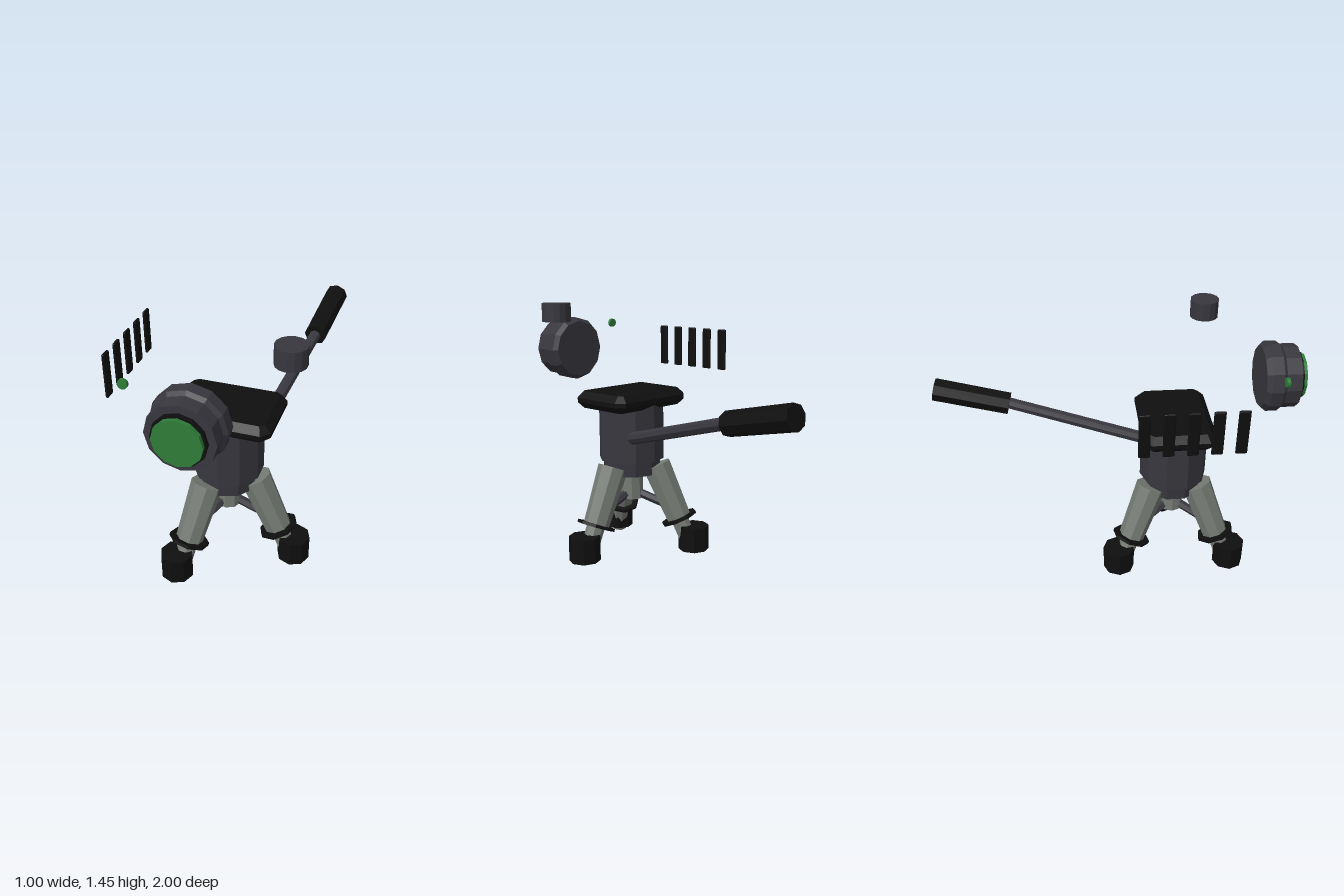
import * as THREE from 'three';
import { RoundedBoxGeometry } from 'three/addons/geometries/RoundedBoxGeometry.js';

const flat = (name, color) => {
  const m = new THREE.MeshStandardMaterial({ color, flatShading: true });
  m.name = name;
  return m;
};

export function createModel() {
  const charcoal = flat('charcoal', 0x38373e);
  const black = flat('black', 0x0f0f0f);
  const grey = flat('legGrey', 0x767b75);
  const green = flat('green', 0x2e7d38);

  const model = new THREE.Group();
  model.name = 'tripodModel';
  const CX = 0.038, CZ = 0.332; // tripod axis

  const add = (parent, name, geometry, material, x = 0, y = 0, z = 0) => {
    const mesh = new THREE.Mesh(geometry, material);
    mesh.name = name;
    mesh.position.set(x, y, z);
    parent.add(mesh);
    return mesh;
  };

  // Cylinder running from point a (radius ra) to point b (radius rb)
  const bar = (parent, name, a, b, ra, rb, material, sides = 8) => {
    const from = new THREE.Vector3(...a), to = new THREE.Vector3(...b);
    const dir = to.clone().sub(from);
    const mesh = add(parent, name, new THREE.CylinderGeometry(rb, ra, dir.length(), sides), material);
    mesh.position.copy(from).add(to).multiplyScalar(0.5);
    mesh.quaternion.setFromUnitVectors(new THREE.Vector3(0, 1, 0), dir.normalize());
    return mesh;
  };

  // Head: body, collar and centre column
  const head = new THREE.Group();
  head.name = 'head';
  head.position.set(CX, 0, CZ);
  model.add(head);
  add(head, 'body', new THREE.CylinderGeometry(0.187, 0.187, 0.34, 10), charcoal, 0, 0.73, 0);
  add(head, 'collar', new THREE.CylinderGeometry(0.168, 0.163, 0.085, 10), charcoal, 0, 0.5205, 0);
  add(head, 'centreColumn', new THREE.CylinderGeometry(0.065, 0.065, 0.18, 8), grey, 0, 0.41, 0);

  // Bevelled top plate with clipped corners
  const w = 0.235, d = 0.161, c = 0.022;
  const outline = new THREE.Shape([
    [-w + c, -d], [w - c, -d], [w, -d + c], [w, d - c],
    [w - c, d], [-w + c, d], [-w, d - c], [-w, -d + c],
  ].map(([x, y]) => new THREE.Vector2(x, y)));
  const plate = new THREE.ExtrudeGeometry(outline, {
    depth: 0.025, bevelEnabled: true, bevelSize: 0.035, bevelThickness: 0.035, bevelSegments: 1,
  });
  plate.rotateX(-Math.PI / 2);
  add(head, 'topPlate', plate, black, -0.002, 0.9, -0.003);

  // Three legs, each built along +x and turned about the axis
  for (let i = 0; i < 3; i++) {
    const leg = new THREE.Group();
    leg.name = 'leg' + (i + 1);
    leg.position.set(CX, 0, CZ);
    leg.rotation.y = (i * Math.PI * 2) / 3;
    model.add(leg);
    const along = (t) => [0.147 + 0.218 * t, 0.523 - 0.498 * t, 0];
    bar(leg, 'upperLeg', along(0), along(0.62), 0.086, 0.073, grey);
    bar(leg, 'lowerLeg', along(0.6), along(1), 0.052, 0.05, grey);
    bar(leg, 'legClamp', along(0.61), along(0.64), 0.108, 0.108, black);
    bar(leg, 'brace', [0, 0.365, 0], [0.256, 0.27, 0], 0.025, 0.025, charcoal, 6);
    const foot = add(leg, 'foot', new THREE.CylinderGeometry(0.088, 0.088, 0.142, 8), black, 0.371, 0.101, 0);
    foot.rotation.y = -leg.rotation.y; // feet keep one common orientation
  }

  // Pan handle
  bar(model, 'handleRod', [0.16, 0.71, 0.195], [0.275, 0.925, -0.6], 0.035, 0.033, charcoal);
  bar(model, 'handleGrip', [0.272, 0.915, -0.575], [0.307, 1.005, -0.985], 0.064, 0.066, black);

  // Lens, facing +z
  const lens = new THREE.Group();
  lens.name = 'lens';
  lens.position.set(CX, 1.16, 0);
  model.add(lens);
  const barrel = new THREE.LatheGeometry([
    [0, 0.775], [0.165, 0.775], [0.186, 0.8], [0.186, 0.862], [0.169, 0.88], [0.169, 0.96], [0, 0.96],
  ].map(([r, y]) => new THREE.Vector2(r, y)), 12);
  barrel.rotateX(Math.PI / 2);
  add(lens, 'lensBarrel', barrel, charcoal);
  const disc = (parent, name, r, depth, sides, material, x, y, z) => {
    const g = new THREE.CylinderGeometry(r, r, depth, sides);
    g.rotateX(Math.PI / 2);
    return add(parent, name, g, material, x, y, z);
  };
  disc(lens, 'lensRim', 0.132, 0.03, 12, black, 0, 0, 0.965);
  disc(lens, 'lensGlass', 0.12, 0.04, 12, green, 0, 0, 0.98);

  // Indicator light, top dial and side vents
  disc(model, 'indicatorLight', 0.025, 0.018, 12, green, -0.277, 1.297, 0.827);
  add(model, 'topDial', new THREE.CylinderGeometry(0.078, 0.078, 0.1, 14), charcoal, 0.402, 1.401, 0.526);
  for (let i = 0; i < 5; i++) {
    add(model, 'vent' + (i + 1), new RoundedBoxGeometry(0.016, 0.24, 0.058, 2, 0.007),
      black, -0.491, 1.16, 0.1 + i * 0.118);
  }
  return model;
}
